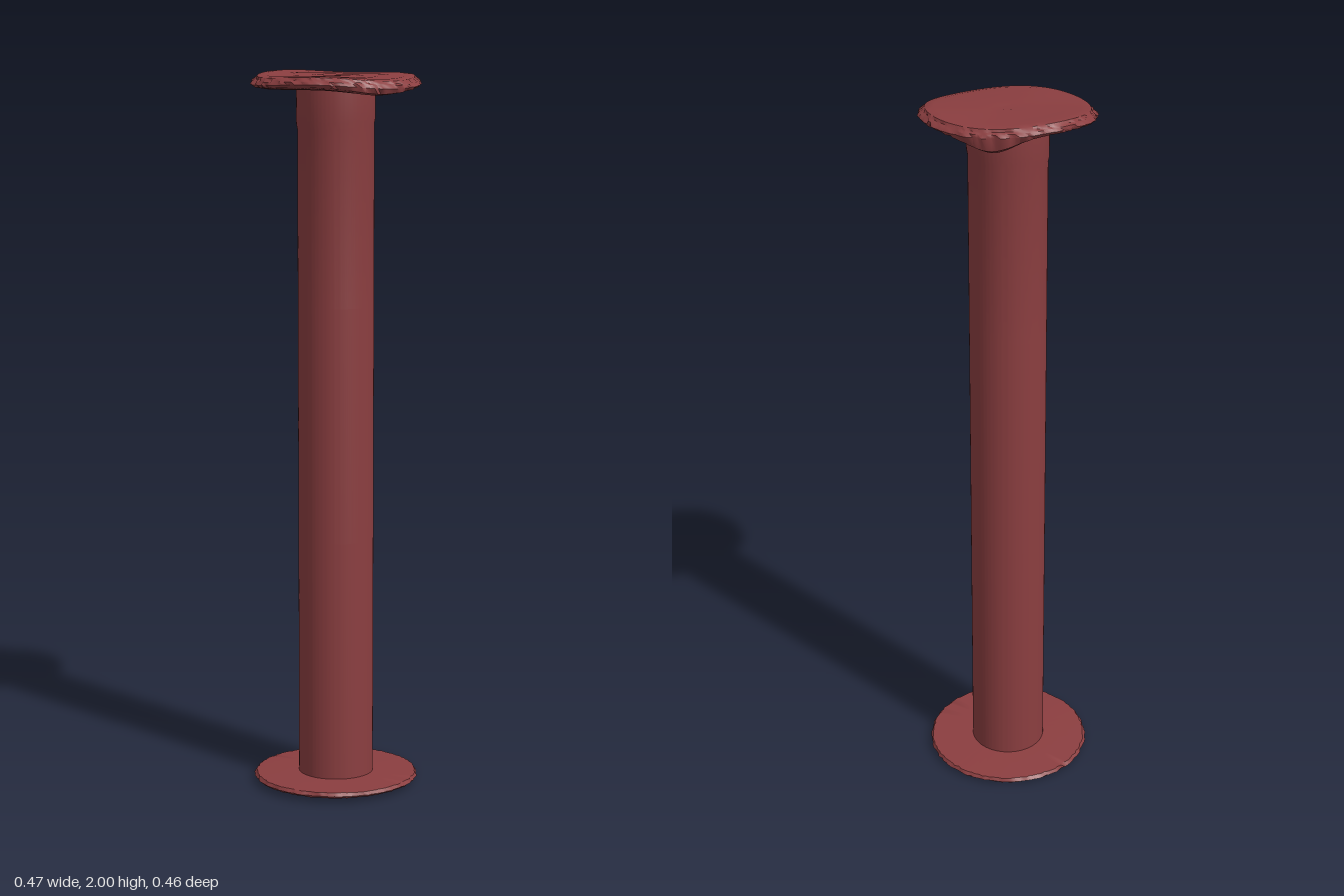
import * as THREE from 'three';
import { toCreasedNormals } from 'three/addons/utils/BufferGeometryUtils.js';

const SEGMENTS = 120;

// repeatable noise in -1..1
const noise = (i, j) => {
  const s = Math.sin(i * 12.9898 + j * 78.233) * 43758.5453;
  return (s - Math.floor(s)) * 2 - 1;
};

// turned disc whose points are then moved by rule(point, segment, ring)
function turned(profile, rule) {
  const points = profile.map(([r, y]) => new THREE.Vector2(r, y));
  const geometry = new THREE.LatheGeometry(points, SEGMENTS);
  const pos = geometry.attributes.position;
  const p = new THREE.Vector3();
  for (let i = 0; i < pos.count; i++) {
    p.fromBufferAttribute(pos, i);
    rule(p, Math.floor(i / points.length) % SEGMENTS, i % points.length);
    pos.setXYZ(i, p.x, p.y, p.z);
  }
  return toCreasedNormals(geometry, 0.7);
}

// ragged, slightly uneven rim
function fray(p, seg, ring, amount) {
  const k = 1 + amount * noise(seg, ring);
  p.x *= k;
  p.z *= k;
}

export function createModel() {
  const group = new THREE.Group();
  const clay = new THREE.MeshStandardMaterial({ color: 0x8b3e40 });
  clay.name = 'redBrown';

  const add = (name, geometry) => {
    const mesh = new THREE.Mesh(geometry, clay);
    mesh.name = name;
    group.add(mesh);
  };

  // straight column with a faint collar under the cap
  add('column', turned(
    [[0.105, 0.015], [0.105, 0.7], [0.105, 1.35], [0.105, 1.84], [0.108, 1.855], [0.108, 1.96]],
    (p, seg, ring) => {
      if (ring === 3 || ring === 4) p.y += 0.12 * p.x;
    }));

  // thin foot disc, tipped a little
  add('base', turned(
    [[0, 0.006], [0.15, 0.006], [0.222, 0.006], [0.231, 0.013], [0.225, 0.022], [0.15, 0.024], [0, 0.024]],
    (p, seg, ring) => {
      if (ring > 1 && ring < 5) fray(p, seg, ring, 0.012);
      p.y += -0.02 * p.x + 0.02 * p.z;
    }));

  // tilted cap with a frilled lip, rippled top and a sag beneath one side
  add('cap', turned(
    [[0, 1.945], [0.105, 1.942], [0.155, 1.942], [0.2, 1.945], [0.224, 1.95], [0.231, 1.957],
      [0.226, 1.965], [0.219, 1.969], [0.214, 1.976], [0.19, 1.979], [0.15, 1.976],
      [0.12, 1.978], [0.08, 1.976], [0.04, 1.978], [0.02, 1.976], [0, 1.977]],
    (p, seg, ring) => {
      if (ring > 3 && ring < 8) fray(p, seg, ring, 0.016);
      const angle = Math.atan2(p.z, p.x);
      const sag = Math.exp(-(((p.x - 0.15) ** 2 + (p.z + 0.12) ** 2) / 0.005));
      const droop = Math.exp(-(((p.x + 0.06) ** 2 + (p.z - 0.2) ** 2) / 0.008));
      if (ring < 5) p.y -= 0.035 * sag + 0.008 * droop;
      const r = Math.hypot(p.x, p.z);
      p.y += 0.045 * p.x - 0.06 * p.z + 0.1 * r * r * Math.sin(angle * 3);
    }));

  return group;
}
